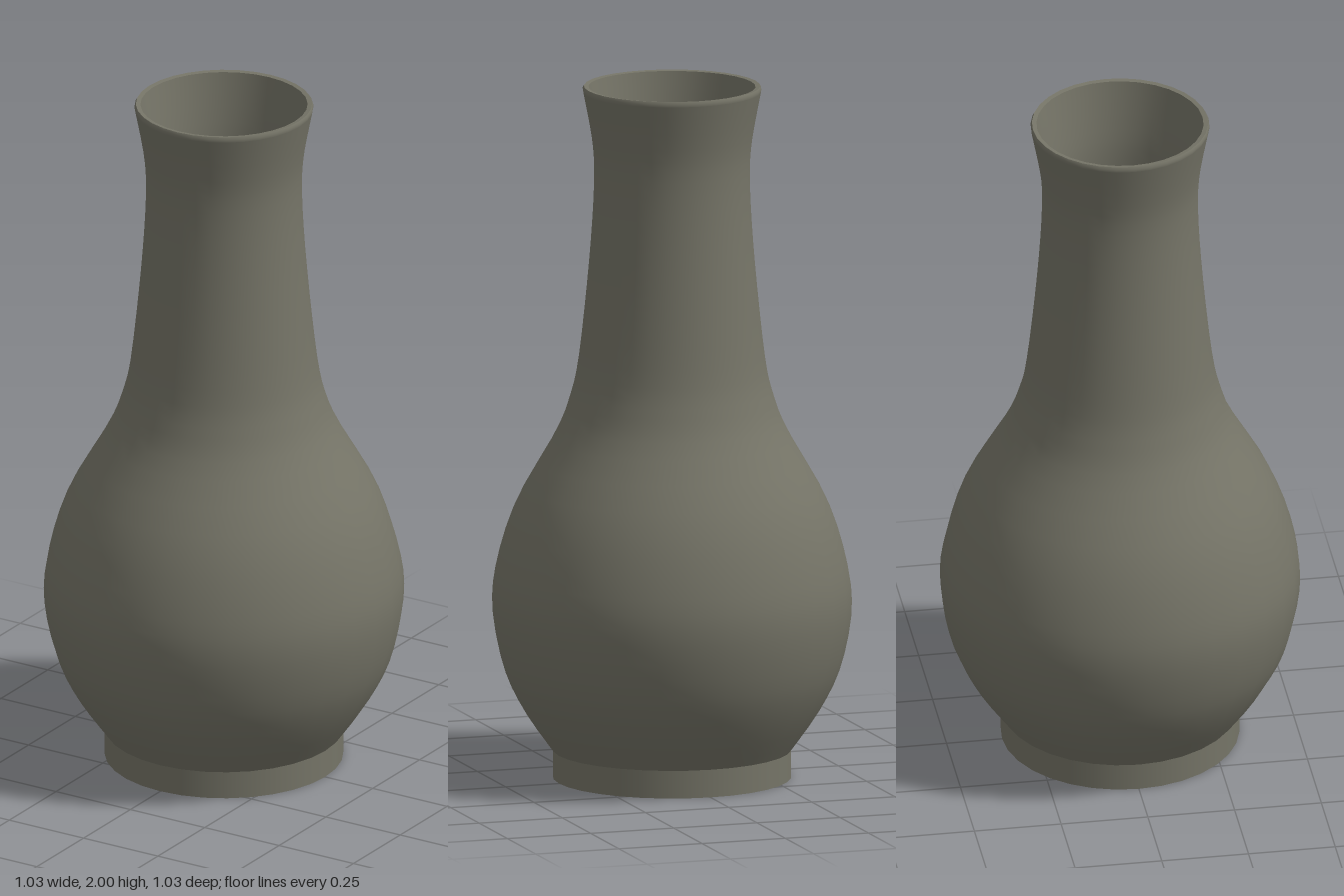
import * as THREE from 'three';

export function createModel() {
  const group = new THREE.Group();
  const glaze = new THREE.MeshStandardMaterial({ color: 0x757467 });
  glaze.name = 'grey olive glaze';

  const toPoints = (list) => list.map(([r, y]) => new THREE.Vector2(r, y));
  // Smooth profile through a few [radius, height] points
  const smooth = (list) => new THREE.SplineCurve(toPoints(list)).getPoints(40);
  const turn = (name, points) => {
    const mesh = new THREE.Mesh(new THREE.LatheGeometry(points, 32), glaze);
    mesh.name = name;
    group.add(mesh);
  };

  // Outer silhouette, from the foot up to the flared lip
  const outer = [
    [0.34, 0.08], [0.42, 0.195], [0.48, 0.32], [0.512, 0.48], [0.5, 0.62],
    [0.442, 0.8], [0.33, 1.0], [0.291, 1.1], [0.268, 1.2], [0.245, 1.4],
    [0.228, 1.6], [0.222, 1.75], [0.229, 1.85], [0.254, 1.985],
  ];
  // The inside follows the outside by the wall thickness
  const wall = 0.016;
  const inner = outer.map(([r, y]) => [r - wall, y]).reverse();
  inner[0][1] = 1.998;
  inner[inner.length - 1][1] = 0.1;

  turn('body', smooth(outer));
  turn('innerWall', smooth(inner));

  // Thin rounded lip and flat rim
  turn('lip', toPoints([[0.254, 1.985], [0.255, 1.993], [0.251, 2]]));
  turn('rim', toPoints([[0.251, 2], [0.238, 1.998]]));

  // Straight foot ring with its closed underside, and the floor inside
  turn('footRing', toPoints([[0.34, 0], [0.34, 0.08]]));
  turn('underside', toPoints([[0, 0], [0.34, 0]]));
  turn('innerFloor', toPoints([[0.324, 0.1], [0, 0.1]]));

  return group;
}
